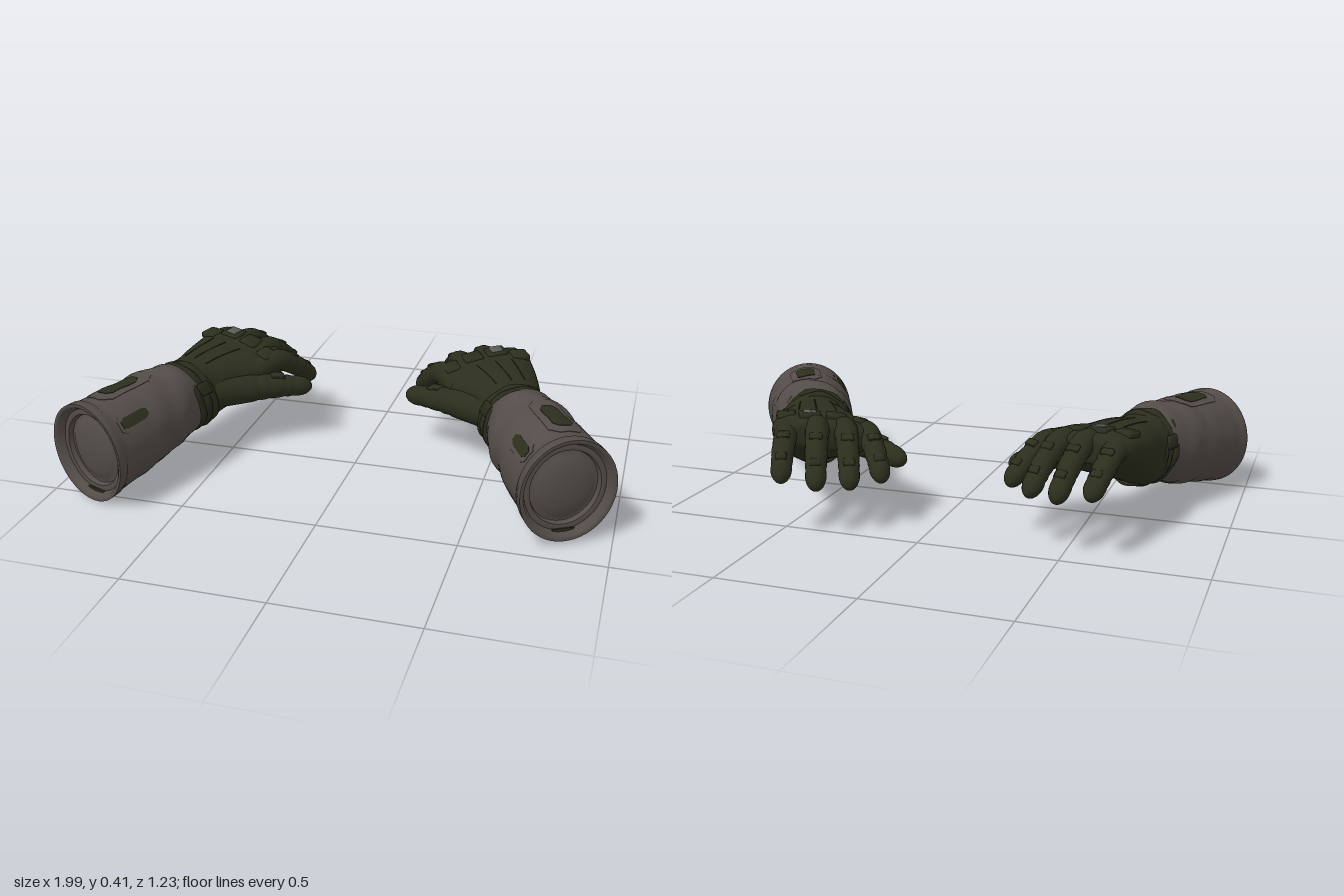
import * as THREE from 'three';
import { toCreasedNormals } from 'three/addons/utils/BufferGeometryUtils.js';
import { RoundedBoxGeometry } from 'three/addons/geometries/RoundedBoxGeometry.js';

const mat = (name, color) => Object.assign(new THREE.MeshStandardMaterial({ color }), { name });
const V = (x, y, z) => new THREE.Vector3(x, y, z);
const TAU = Math.PI * 2;
const bump = (t, c, w) => Math.exp(-(((t - c) / w) ** 2));

// Smooth lookup in rows of [key, ...values] with rising keys
function lookup(rows) {
  const size = rows[0].length - 1;
  const f = new THREE.CubicInterpolant(rows.map(r => r[0]), rows.flatMap(r => r.slice(1)), size);
  return k => Array.from(f.evaluate(k));
}

// Skin over closed rings of equal point count
function loft(rings) {
  const n = rings[0].length, index = [];
  for (let i = 0; i < rings.length - 1; i++) {
    for (let j = 0; j < n; j++) {
      const k = (j + 1) % n, a = i * n + j, b = a + n, c = i * n + k, d = c + n;
      index.push(a, b, c, c, b, d);
    }
  }
  const g = new THREE.BufferGeometry().setFromPoints(rings.flat());
  g.setIndex(index);
  return g;
}
const ring = (n, f) => Array.from({ length: n }, (_, j) => f(j / n * TAU));

// Sleeve surface: rows are z, half width, half height, centre height
const sleeveAt = lookup([
  [0, .122, .13, .25], [.05, .138, .144, .252], [.12, .15, .156, .243],
  [.28, .162, .171, .225], [.42, .168, .179, .212], [.48, .171, .184, .207],
]);
function sleevePoint(a, z, off = 0) {
  const [rx, ry, cy] = sleeveAt(z);
  const fade = THREE.MathUtils.smoothstep(.44 - z, 0, .3);
  const folds = fade * (.003 * Math.sin(3 * a + 30 * z) + .0025 * Math.sin(2 * a - 45 * z + 1) + .002 * Math.sin(5 * a + 60 * z));
  const d = off + folds;
  return V(Math.cos(a) * (rx + d), cy + Math.sin(a) * (ry + d), z);
}

// Sleeve with hem, a grooved ring and a shallow dome closing the opening
function sleeveGeometry() {
  const n = 56, rings = [];
  for (const [z, s] of [[.458, .001], [.456, .25], [.45, .45], [.441, .6], [.432, .68], [.432, .72], [.45, .75], [.452, .8], [.45, .86], [.476, .93]])
    rings.push(ring(n, a => V(Math.cos(a) * .171 * s, .207 + Math.sin(a) * .184 * s, z)));
  for (const [z, off] of [[.481, -.004], [.48, .003], [.445, .004], [.44, 0]])
    rings.push(ring(n, a => sleevePoint(a, z, off)));
  for (let i = 1; i <= 44; i++) rings.push(ring(n, a => sleevePoint(a, .44 * (1 - i / 44))));
  return loft(rings);
}

// Thin plate with cut corners that follows the sleeve
function patchGeometry(angle, z0, w, l, h) {
  const g = new THREE.BoxGeometry(2, 2, 1, 6, 14, 1), p = g.attributes.position;
  for (let i = 0; i < p.count; i++) {
    const v = p.getY(i), taper = Math.min(1, .55 + (1 - Math.abs(v)) * 1.6);
    const q = sleevePoint(angle - p.getX(i) * taper * w / 2 / .17, z0 - v * l / 2, p.getZ(i) > 0 ? h : -.003);
    p.setXYZ(i, q.x, q.y, q.z);
  }
  return g;
}

// Hand body: rows are distance forward, centre x, centre y, half width, half height
const palmAt = lookup([
  [-.02, 0, .25, .12, .13], [.08, .012, .25, .121, .123], [.17, .012, .27, .143, .11],
  [.27, .002, .288, .172, .09], [.36, -.006, .308, .183, .07], [.41, -.008, .315, .165, .053],
]);
function palmPoint(a, d, s = 1) {
  const [cx, cy, rx, ry] = palmAt(d);
  const sq = t => Math.sign(t) * Math.abs(t) ** .8;
  const x = rx * s * sq(Math.cos(a));
  const roll = .13 * THREE.MathUtils.smoothstep(d, .08, .35);
  return V(cx + x, cy + ry * s * sq(Math.sin(a)) + x * roll, -d);
}
// Angle on the palm outline for a given x on the back of the hand
function palmAngle(x, d) {
  const [cx, , rx] = palmAt(d), c = (x - cx) / rx;
  return Math.acos(Math.sign(c) * Math.min(1, Math.abs(c)) ** 1.25);
}
function palmGeometry() {
  const rings = [];
  for (let i = 0; i <= 24; i++) rings.push(ring(40, a => palmPoint(a, -.02 + .43 * i / 24)));
  for (const [e, s] of [[.012, .9], [.018, .7], [.02, .01]])
    rings.push(ring(40, a => palmPoint(a, .41, s).add(V(0, 0, -e))));
  return loft(rings);
}

// Finger: curve with a moving frame, joint creases and a tapered round tip
function makeFinger(points, r0, r1) {
  const curve = new THREE.CatmullRomCurve3(points.map(p => V(...p)));
  const len = curve.getLength(), tipLength = r1 * 1.5;
  const frame = t => {
    const o = curve.getPointAt(t), d = curve.getTangentAt(t);
    const s = d.clone().cross(V(0, 1, 0)).normalize();
    return { o, d, s, u: s.clone().cross(d) };
  };
  const radius = t => {
    const left = (1 - t) * len, base = r0 + (r1 - r0) * t;
    const tip = left < tipLength ? Math.sqrt(Math.max(1e-5, 1 - (1 - left / tipLength) ** 2)) : 1;
    return base * tip * (1 - .06 * (bump(t, .46, .025) + bump(t, .57, .025) + bump(t, .72, .02) + bump(t, .8, .02)));
  };
  const rings = [];
  for (let i = 0; i <= 52; i++) {
    const t = 1 - (1 - i / 52) ** 1.5, f = frame(t), r = radius(t);
    rings.push(ring(18, a => f.o.clone().addScaledVector(f.s, Math.cos(a) * r).addScaledVector(f.u, Math.sin(a) * r)));
  }
  // Padded plate lying on the back of the finger
  const pad = (t, w, h, l) => {
    const f = frame(t);
    const g = new RoundedBoxGeometry(w, h, l, 2, h * .45);
    const m = new THREE.Matrix4().makeBasis(f.s, f.u, f.d.clone().negate());
    return g.applyMatrix4(m.setPosition(f.o.addScaledVector(f.u, radius(t) - h * .38)));
  };
  return { geometry: loft(rings), pad };
}

const fingers = {
  littleFinger: [[.10, .31, -.27], [.125, .335, -.375], [.147, .293, -.475], [.165, .208, -.586]],
  ringFinger: [[.03, .315, -.29], [.022, .345, -.405], [.035, .288, -.51], [.047, .178, -.611]],
  middleFinger: [[-.06, .305, -.29], [-.078, .332, -.405], [-.077, .274, -.505], [-.071, .172, -.603]],
  indexFinger: [[-.125, .285, -.27], [-.16, .307, -.375], [-.178, .258, -.465], [-.19, .178, -.558]],
};

function makeGlove(name, side, m) {
  const glove = new THREE.Group();
  glove.name = name;
  const add = (part, geo, material, crease = 1) => {
    const g = geo.index ? geo.toNonIndexed() : geo;
    if (side < 0) { // mirror across x and restore the winding
      const p = g.attributes.position;
      for (let i = 0; i < p.count; i += 3) {
        const [a, b, c] = [0, 1, 2].map(k => V().fromBufferAttribute(p, i + k));
        [a, c, b].forEach((q, k) => p.setXYZ(i + k, -q.x, q.y, q.z));
      }
    }
    const mesh = new THREE.Mesh(toCreasedNormals(g, crease), material);
    mesh.name = part;
    glove.add(mesh);
  };

  // Sleeve and its patches
  add('sleeve', sleeveGeometry(), m.sleeve, .8);
  add('topPanel', patchGeometry(1.44, .28, .13, .25, .002), m.sleeve, .5);
  add('topPatch', patchGeometry(1.44, .285, .075, .155, .004), m.olive, .5);
  add('sidePanel', patchGeometry(2.45, .34, .075, .17, .002), m.sleeve, .5);
  add('sidePatch', patchGeometry(2.45, .35, .04, .125, .004), m.olive, .5);
  add('openingTab', new THREE.BoxGeometry(.08, .018, .006).translate(0, .047, .455), m.olive);

  // Wrist straps, leaning forward at the bottom
  const lean = g => {
    const p = g.attributes.position;
    for (let i = 0; i < p.count; i++) p.setZ(i, p.getZ(i) + (p.getY(i) - .25) * .22);
    return g;
  };
  for (const [z, rx, ry, tube] of [[.02, .122, .129, .014], [-.015, .119, .126, .015], [-.05, .117, .122, .015]]) {
    const strap = [...ring(14, b => b), TAU].map(b => ring(48, a => {
      const d = Math.cos(b) * tube + .0025 * Math.sin(7 * a + z * 90);
      return V(Math.cos(a) * (rx + d), .25 + Math.sin(a) * (ry + d), z - Math.sin(b) * tube * 1.3);
    }));
    add('wristStrap', lean(loft(strap)), m.strap);
  }
  for (const a of [.3, 2.7])
    add('strapBuckle', lean(new RoundedBoxGeometry(.018, .05, .06, 2, .007).rotateZ(a)
      .translate(Math.cos(a) * .13, .25 + Math.sin(a) * .138, -.02)), m.strap);

  // Hand, thumb and fingers
  add('hand', palmGeometry(), m.olive);
  const thumb = makeFinger([[-.05, .25, -.10], [-.125, .24, -.205], [-.195, .233, -.30], [-.288, .21, -.43]], .072, .034);
  add('thumb', thumb.geometry, m.olive);
  add('thumbPad', thumb.pad(.65, .05, .012, .055), m.olive);
  for (const [part, points] of Object.entries(fingers)) {
    const f = makeFinger(points, .048, .035);
    add(part, f.geometry, m.olive);
    add(part + 'Pad', f.pad(.51, .046, .014, .032), m.olive);
    add(part + 'Pad', f.pad(.76, .04, .012, .028), m.olive);
  }

  // Knuckle pads, the square plate and seams on the back of the hand
  const onBack = (x, d, h, geo) => {
    const q = palmPoint(palmAngle(x, d), d);
    return geo.rotateZ(.13 - x * 1.2).rotateX(.06).translate(q.x, q.y + h, q.z);
  };
  for (const [x, d, w] of [[.125, .315, .07], [.043, .35, .08], [-.053, .347, .075], [-.14, .335, .06]])
    add('knucklePad', onBack(x, d, -.003, new RoundedBoxGeometry(w, .026, .07, 2, .01)), m.olive);
  add('squarePlate', onBack(.043, .353, .01, new RoundedBoxGeometry(.046, .01, .046, 2, .004)), m.plate);
  for (const x of [-.07, .015, .09]) {
    const path = [.09, .15, .21, .27].map(d => palmPoint(palmAngle(x * (.6 + d), d), d));
    add('backSeam', new THREE.TubeGeometry(new THREE.CatmullRomCurve3(path), 16, .0025, 6), m.olive);
  }
  return glove;
}

export function createModel() {
  const m = {
    sleeve: mat('sleeveGrey', 0x534c48),
    olive: mat('gloveOlive', 0x2c2e1d),
    strap: mat('strapOlive', 0x2a2b1d),
    plate: mat('plateGrey', 0x5c5e58),
  };
  const model = new THREE.Group();
  model.name = 'glovePair';
  const leftSide = makeGlove('gloveOnLeft', 1, m);
  leftSide.position.set(.607, 0, -.02);
  leftSide.rotation.y = Math.PI / 6;
  const rightSide = makeGlove('gloveOnRight', -1, m);
  rightSide.rotation.set(.03, -.375, 0, 'YXZ');
  rightSide.position.set(-.656, 0, .095);
  model.add(leftSide, rightSide);
  return model;
}
